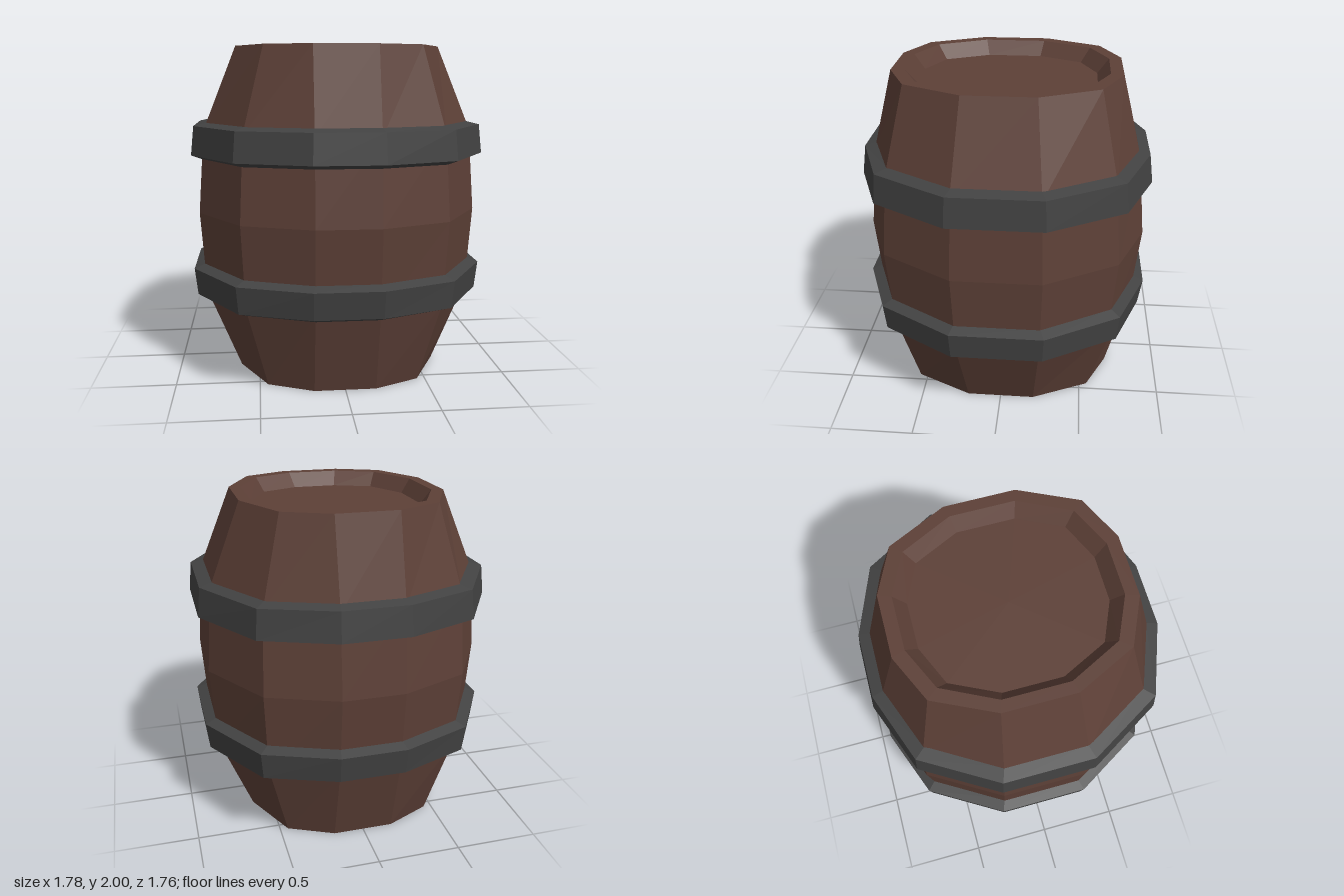
import * as THREE from 'three';

// One ring of the twelve-sided section: three corners [x, z] of a quarter, mirrored round
function ring(y, corners) {
  const front = [...corners, ...corners.map(([x, z]) => [-x, z]).reverse()];
  const back = front.map(([x, z]) => [x, -z]).reverse();
  return [...front, ...back].map(([x, z]) => new THREE.Vector3(x, y, z));
}

// Skin a list of rings with flat faces, skipping collapsed triangles
function loft(rings) {
  const points = [];
  const add = (a, b, c) => {
    if (new THREE.Triangle(a, b, c).getArea() > 1e-7) points.push(a, b, c);
  };
  for (let i = 0; i < rings.length - 1; i++) {
    const lo = rings[i], hi = rings[i + 1];
    for (let j = 0; j < lo.length; j++) {
      const k = (j + 1) % lo.length;
      add(lo[j], hi[j], lo[k]);
      add(lo[k], hi[j], hi[k]);
    }
  }
  const geometry = new THREE.BufferGeometry().setFromPoints(points);
  geometry.computeVertexNormals();
  return geometry;
}

export function createModel() {
  const wood = new THREE.MeshStandardMaterial({ color: 0x5d4037, flatShading: true });
  const iron = new THREE.MeshStandardMaterial({ color: 0x424242, flatShading: true });
  const model = new THREE.Group();
  model.name = 'barrel';

  const addPart = (name, rings, material) => {
    const mesh = new THREE.Mesh(loft(rings), material);
    mesh.name = name;
    model.add(mesh);
  };

  // Quarter sections, from the side corner round to the front corner
  const centre = [[0, 0], [0, 0], [0, 0]];
  const lid = [[0.487, 0.168], [0.36, 0.43], [0.135, 0.53]];
  const lip = [[0.547, 0.188], [0.4, 0.485], [0.157, 0.598]];
  const rim = [[0.615, 0.207], [0.452, 0.547], [0.183, 0.672]];
  const shoulder = [[0.815, 0.247], [0.574, 0.652], [0.185, 0.803]];
  const belly = [[0.85, 0.26], [0.596, 0.69], [0.186, 0.853]];

  // Staves with a recessed lid at both ends
  const recess = 0.085;
  addPart('staves', [
    ring(recess, centre), ring(recess, lid), ring(0, lip), ring(0, rim),
    ring(0.5, shoulder), ring(1, belly), ring(1.5, shoulder),
    ring(2, rim), ring(2, lip), ring(2 - recess, lid), ring(2 - recess, centre),
  ], wood);

  // Bevelled hoops, wider on the edge facing the belly; both ends sink into the staves
  const wide = [[0.89, 0.275], [0.628, 0.716], [0.2, 0.882]];
  const narrow = [[0.872, 0.268], [0.615, 0.702], [0.197, 0.858]];
  const innerBelly = [[0.815, 0.25], [0.575, 0.66], [0.183, 0.81]];
  const innerEnd = [[0.79, 0.24], [0.56, 0.635], [0.182, 0.785]];
  addPart('upperHoop', [
    ring(1.324, innerBelly), ring(1.353, wide), ring(1.528, narrow), ring(1.548, innerEnd),
  ], iron);
  addPart('lowerHoop', [
    ring(0.459, innerEnd), ring(0.491, narrow), ring(0.655, wide), ring(0.684, innerBelly),
  ], iron);

  return model;
}
